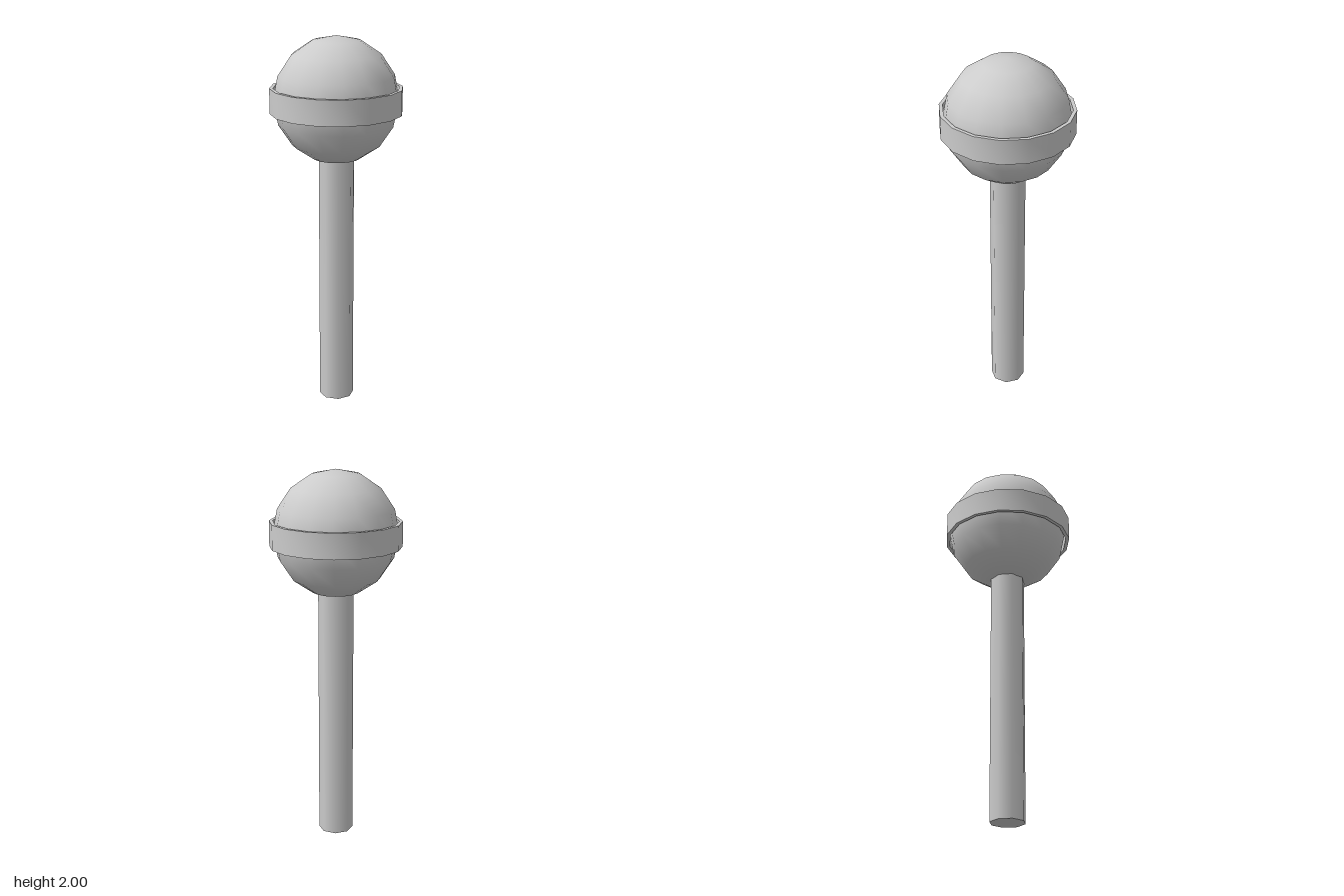
import * as THREE from 'three';
import { toCreasedNormals } from 'three/addons/utils/BufferGeometryUtils.js';

export function createModel() {
  const model = new THREE.Group();
  const grey = new THREE.MeshStandardMaterial({ color: 0xcccccc });
  grey.name = 'light grey';

  const add = (name, geometry, y) => {
    const mesh = new THREE.Mesh(geometry, grey);
    mesh.name = name;
    mesh.position.y = y;
    model.add(mesh);
  };

  // Eight-sided stem, ending just inside the ball
  const stemHeight = 1.37;
  add('stem', new THREE.CylinderGeometry(0.093, 0.093, stemHeight, 8), stemHeight / 2);

  // Smooth, coarse ball
  const ball = new THREE.SphereGeometry(0.328, 16, 8);
  ball.scale(1, 0.331 / 0.328, 1);
  add('ball', ball, 1.669);

  // Thin band around the ball's middle, closed square section
  const inner = 0.327, outer = 0.346, half = 0.066;
  const section = [
    [inner, -half], [outer, -half], [outer, half], [inner, half], [inner, -half],
  ].map(([r, y]) => new THREE.Vector2(r, y));
  add('band', toCreasedNormals(new THREE.LatheGeometry(section, 16), 0.6), 1.668);

  return model;
}
